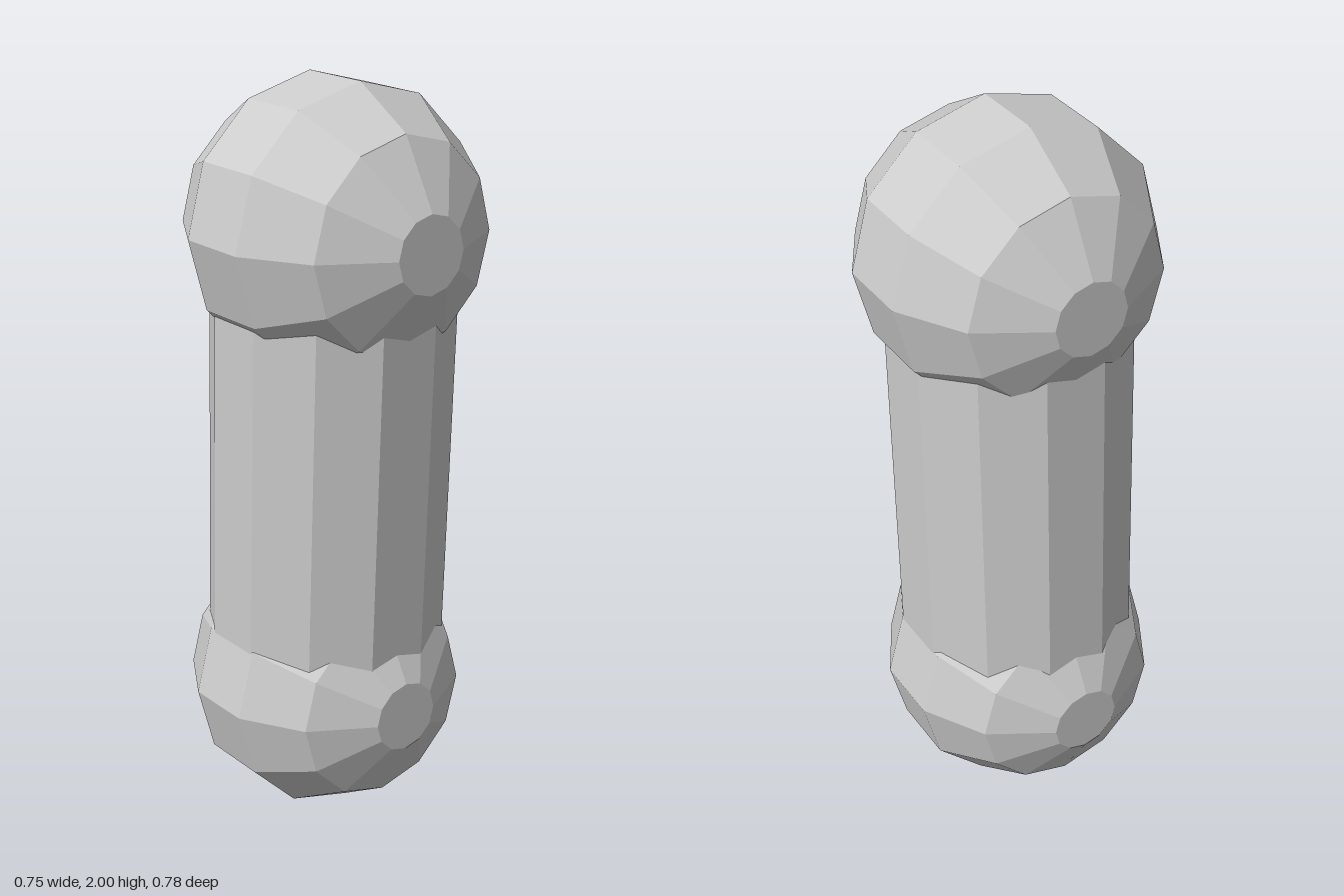
import * as THREE from 'three';

const SIDES = 12;

// Faceted copy of a geometry, with one normal per face
function faceted(geometry) {
  const flat = geometry.toNonIndexed();
  flat.computeVertexNormals();
  return flat;
}

// Ball with its axis along z: flat-ended, twelve-sided both around and in profile
function ballGeometry(halfWidth) {
  const radius = halfWidth / Math.cos(Math.PI / SIDES);
  const profile = [new THREE.Vector2(0, -halfWidth)];
  for (let i = 0; i < SIDES / 2; i++) {
    const a = (i + 0.5) * 2 * Math.PI / SIDES;
    profile.push(new THREE.Vector2(radius * Math.sin(a), -radius * Math.cos(a)));
  }
  profile.push(new THREE.Vector2(0, halfWidth));
  return faceted(new THREE.LatheGeometry(profile, SIDES).rotateX(Math.PI / 2));
}

export function createModel() {
  const model = new THREE.Group();
  const grey = new THREE.MeshStandardMaterial({ color: 0xcccccc, flatShading: true });
  grey.name = 'light grey';

  function add(name, geometry, position) {
    const mesh = new THREE.Mesh(geometry, grey);
    mesh.name = name;
    mesh.position.copy(position);
    model.add(mesh);
    return mesh;
  }

  const top = new THREE.Vector3(0, 1.624, 0.0125);
  const bottom = new THREE.Vector3(0, 0.358, -0.035);

  // Joint balls
  add('upperBall', ballGeometry(0.376), top);
  add('lowerBall', ballGeometry(0.355), bottom);

  // Slightly tilted shaft running between the ball centres
  const axis = top.clone().sub(bottom);
  const shaft = add(
    'shaft',
    faceted(new THREE.CylinderGeometry(0.32, 0.32, axis.length(), SIDES, 1, false, Math.PI / SIDES)),
    top.clone().add(bottom).multiplyScalar(0.5)
  );
  shaft.rotation.x = Math.atan2(axis.z, axis.y);

  return model;
}
